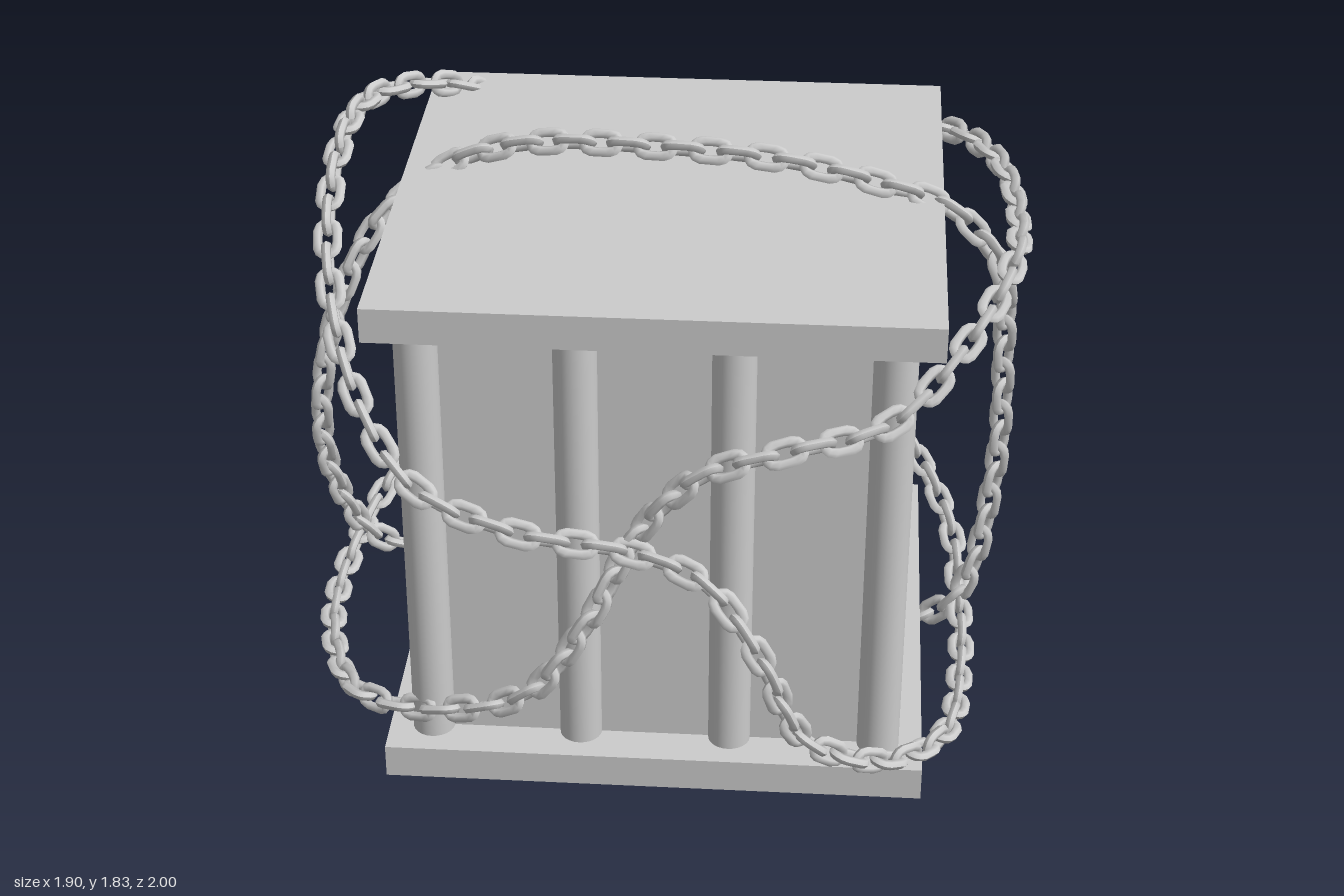
import * as THREE from 'three';
import { mergeGeometries } from 'three/addons/utils/BufferGeometryUtils.js';

const grey = new THREE.MeshStandardMaterial({ color: 0xcccccc });

// Cage centre and the offset of its bars
const CX = 0.03, CZ = 0.07;

function add(parent, name, geometry, x = 0, y = 0, z = 0) {
  const mesh = new THREE.Mesh(geometry, grey);
  mesh.name = name;
  mesh.position.set(x, y, z);
  parent.add(mesh);
  return mesh;
}

// One oval link, long along x
function linkGeometry() {
  const g = new THREE.TorusGeometry(0.025, 0.0125, 6, 14);
  const p = g.attributes.position;
  for (let i = 0; i < p.count; i++) {
    const x = p.getX(i);
    p.setX(i, x + 0.021 * THREE.MathUtils.clamp(x / 0.01, -1, 1));
  }
  g.computeVertexNormals();
  return g;
}

// Links strung along a closed curve, every second one turned a quarter
function chain(parent, name, points) {
  const curve = new THREE.CatmullRomCurve3(points.map(p => new THREE.Vector3(...p)), true);
  const count = 2 * Math.round(curve.getLength() / 0.07 / 2);
  const frames = curve.computeFrenetFrames(count, true);
  const link = linkGeometry();
  const links = [];
  for (let i = 0; i < count; i++) {
    const m = new THREE.Matrix4().makeBasis(frames.tangents[i], frames.normals[i], frames.binormals[i]);
    m.multiply(new THREE.Matrix4().makeRotationX(Math.PI / 4 + (i % 2) * Math.PI / 2));
    m.setPosition(curve.getPointAt(i / count));
    links.push(link.clone().applyMatrix4(m));
  }
  add(parent, name, mergeGeometries(links));
}

export function createModel() {
  const model = new THREE.Group();
  model.name = 'chainedCage';

  // Cage: plates, core and a ring of bars
  const cage = new THREE.Group();
  cage.name = 'cage';
  cage.position.set(CX, 0, CZ);
  model.add(cage);
  add(cage, 'basePlate', new THREE.BoxGeometry(1.38, 0.09, 1.37), 0, 0.358, 0);
  add(cage, 'topPlate', new THREE.BoxGeometry(1.38, 0.09, 1.37), 0, 1.643, 0);
  add(cage, 'core', new THREE.BoxGeometry(1.15, 1.2, 1.15), 0, 1.0, 0);
  const bar = new THREE.CylinderGeometry(0.054, 0.054, 1.2, 24);
  for (let i = 0; i < 4; i++) {
    for (let j = 0; j < 4; j++) {
      if (i % 3 && j % 3) continue;
      add(cage, 'bar', bar, -0.576 + i * 0.384, 1.0, -0.576 + j * 0.384);
    }
  }

  // Chain over the top, down both sides and under the base
  chain(model, 'verticalChain', [
    [-0.55, 1.69, -0.03], [-0.35, 1.77, 0], [0, 1.8, 0.06], [0.3, 1.79, 0.09], [0.55, 1.73, 0.08],
    [0.74, 1.66, 0.08], [0.87, 1.5, 0.07], [0.9, 1.2, 0.02], [0.9, 0.8, -0.03], [0.82, 0.4, -0.05],
    [0.62, 0.22, -0.11], [0.42, 0.1, -0.05], [0.2, 0.04, 0.03], [0.02, 0.08, -0.03], [-0.12, 0.14, -0.11],
    [-0.35, 0.22, -0.2], [-0.6, 0.32, -0.28], [-0.82, 0.42, -0.2], [-0.91, 0.7, -0.06],
    [-0.91, 1.0, 0.05], [-0.85, 1.3, 0.07], [-0.73, 1.55, 0.02],
  ]);

  // Chain rising across the front from lower -x to upper +x
  chain(model, 'risingChain', [
    [0.12, 1.22, -0.87], [0.32, 1.36, -0.86], [0.55, 1.49, -0.77], [0.75, 1.58, -0.57], [0.87, 1.62, -0.3],
    [0.91, 1.62, 0], [0.89, 1.63, 0.3], [0.78, 1.55, 0.56], [0.6, 1.42, 0.74], [0.35, 1.4, 0.86],
    [0.16, 1.33, 0.86], [0, 1.13, 0.82], [-0.12, 0.88, 0.83], [-0.28, 0.63, 0.8], [-0.53, 0.5, 0.71],
    [-0.75, 0.45, 0.58], [-0.88, 0.41, 0.25], [-0.89, 0.41, -0.15], [-0.77, 0.53, -0.5],
    [-0.55, 0.69, -0.72], [-0.25, 0.92, -0.84], [-0.02, 1.12, -0.88],
  ]);

  // Chain falling across the front from upper -x to lower +x
  chain(model, 'fallingChain', [
    [0.1, 1.1, -0.81], [-0.15, 1.3, -0.78], [-0.4, 1.52, -0.68], [-0.58, 1.7, -0.5], [-0.77, 1.79, -0.22],
    [-0.81, 1.78, 0.1], [-0.79, 1.62, 0.42], [-0.7, 1.4, 0.65], [-0.55, 1.22, 0.78], [-0.3, 1.15, 0.86],
    [0, 1.1, 0.86], [0.17, 1.06, 0.92], [0.3, 0.9, 0.97], [0.42, 0.6, 0.9], [0.62, 0.45, 0.78],
    [0.78, 0.38, 0.56], [0.83, 0.35, 0.22], [0.83, 0.38, -0.05], [0.8, 0.47, -0.32],
    [0.65, 0.62, -0.6], [0.4, 0.85, -0.75],
  ]);

  // Padlock hanging on the back
  const padlock = new THREE.Group();
  padlock.name = 'padlock';
  padlock.position.set(0.135, 1.04, -0.915);
  padlock.rotation.x = 0.226;
  model.add(padlock);
  add(padlock, 'lockBody', new THREE.BoxGeometry(0.31, 0.31, 0.1));
  const shackle = new THREE.TorusGeometry(0.09, 0.026, 10, 24, Math.PI);
  add(padlock, 'shackle', shackle, 0, 0.15, 0);

  return model;
}
